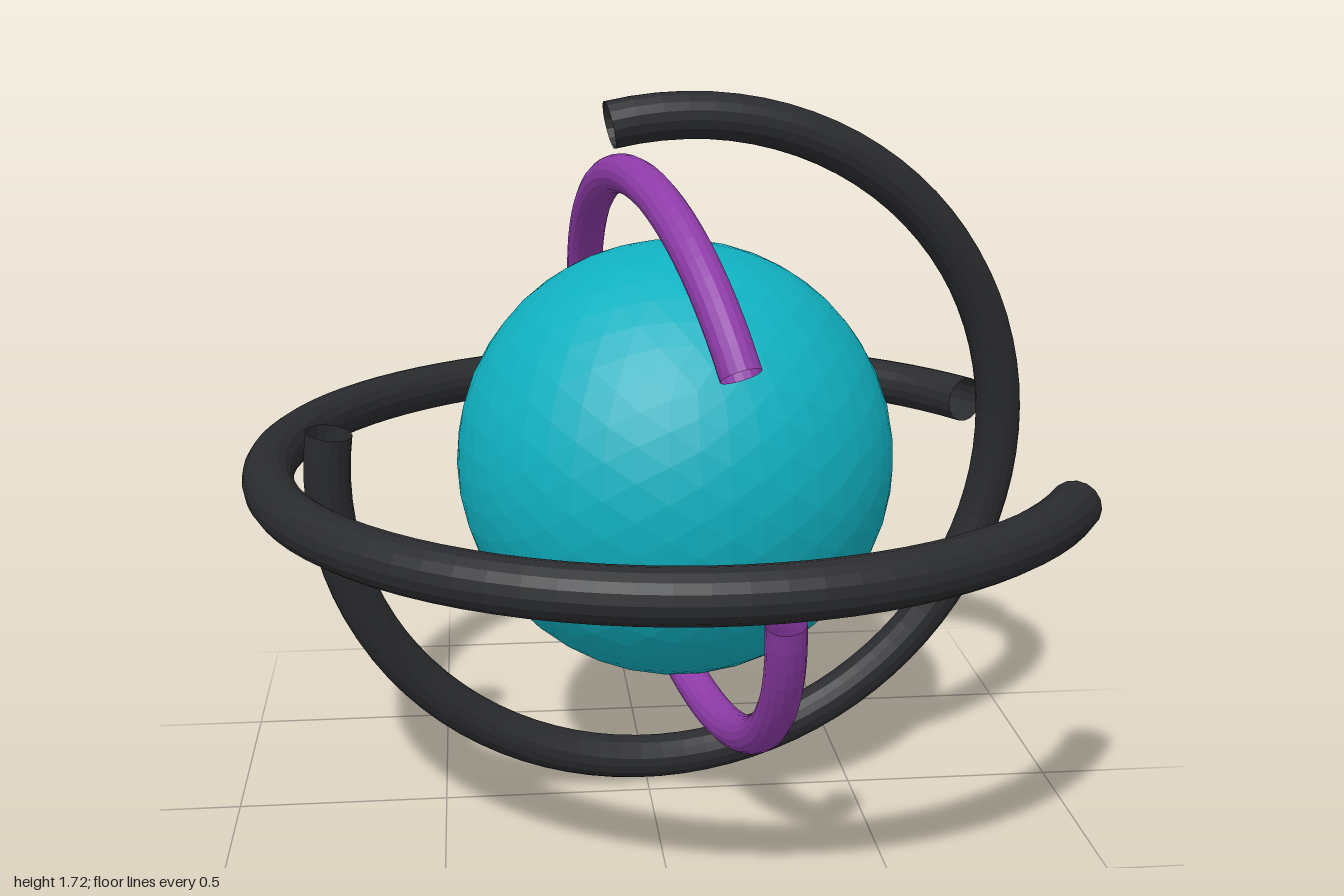
import * as THREE from 'three';

const CENTER = new THREE.Vector3(0.06, 0.866, 0);

const paint = (color, side = THREE.FrontSide) =>
  new THREE.MeshStandardMaterial({ color, side, flatShading: true });

// Open ring: lies across `normal`, with its gap (in degrees) facing `toGap`
function openRing(name, radius, tube, gapDegrees, normal, toGap, material) {
  const gap = THREE.MathUtils.degToRad(gapDegrees);
  const geometry = new THREE.TorusGeometry(radius, tube, 16, 72, Math.PI * 2 - gap);
  geometry.rotateZ(gap / 2);
  const n = new THREE.Vector3(...normal).normalize();
  const u = new THREE.Vector3(...toGap).projectOnPlane(n).normalize();
  const v = new THREE.Vector3().crossVectors(n, u);
  geometry.applyMatrix4(new THREE.Matrix4().makeBasis(u, v, n));
  const mesh = new THREE.Mesh(geometry, material);
  mesh.name = name;
  mesh.position.copy(CENTER);
  return mesh;
}

export function createModel() {
  const model = new THREE.Group();
  model.name = 'ringedSphere';

  // Faceted core
  const core = new THREE.Mesh(new THREE.IcosahedronGeometry(0.511, 7), paint(0x10b0c0));
  core.name = 'core';
  core.position.copy(CENTER);
  model.add(core);

  // Three open rings, largest to smallest
  const black = paint(0x2a2b2e, THREE.DoubleSide);
  const purple = paint(0x8e3ba8, THREE.DoubleSide);
  model.add(
    openRing('horizontalRing', 0.942, 0.058, 59, [0, 1, 0], [1, 0, 0], black),
    openRing('uprightRing', 0.81, 0.053, 70, [0.13, -0.107, 1], [-0.95, 0.895, 0.22], black),
    openRing('innerRing', 0.674, 0.045, 46, [1, 0.164, -0.215], [0.235, 0.153, 1.21], purple)
  );
  return model;
}
